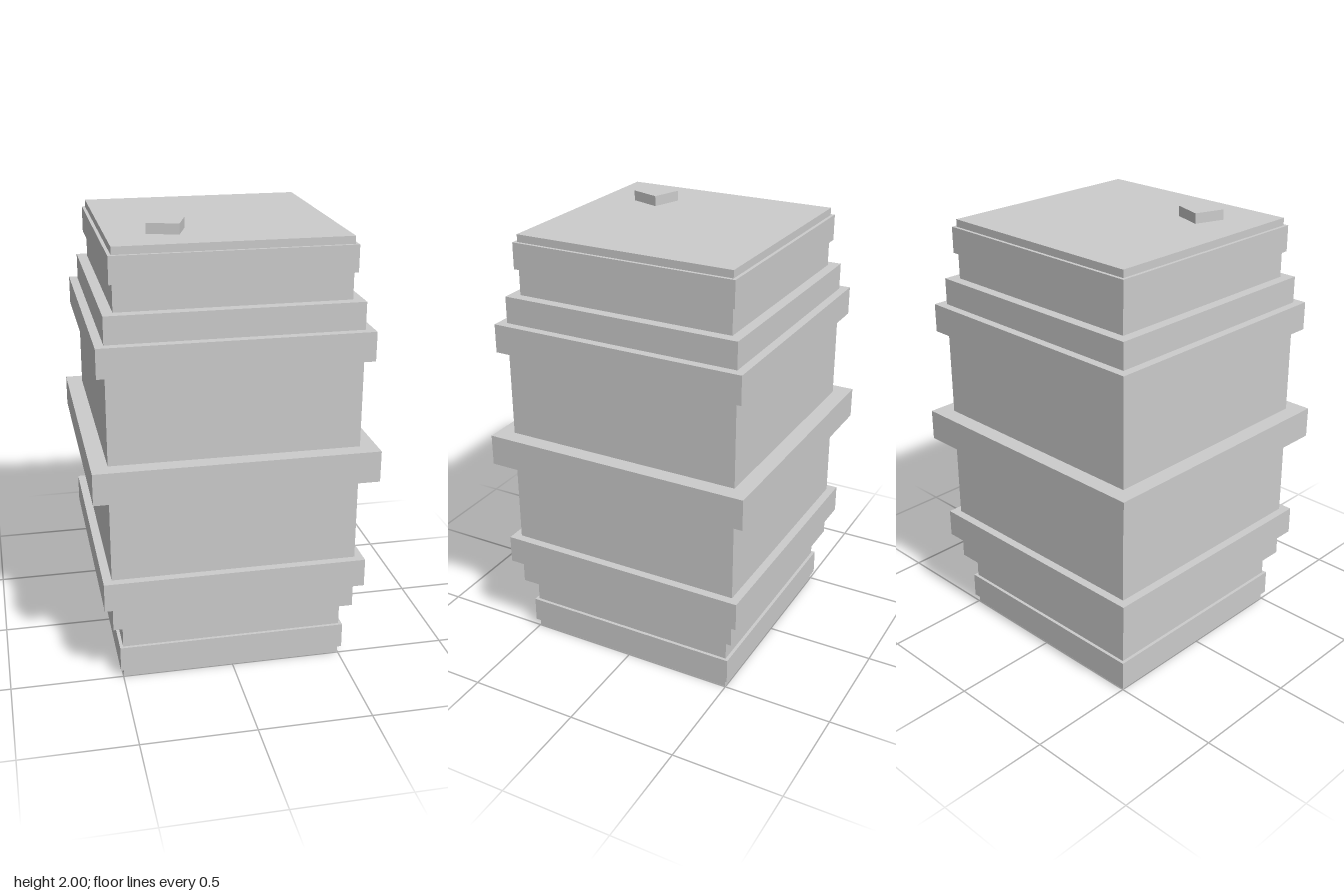
import * as THREE from 'three';

export function createModel() {
  const group = new THREE.Group();
  const material = new THREE.MeshStandardMaterial({ color: 0xcccccc, flatShading: true });

  // Square block spanning y0..y1, centred on the vertical axis
  const block = (name, width, y0, y1) => {
    const mesh = new THREE.Mesh(new THREE.BoxGeometry(width, y1 - y0, width), material);
    mesh.name = name;
    mesh.position.y = (y0 + y1) / 2;
    group.add(mesh);
    return mesh;
  };

  // Barrel body: narrow ends with a wider belly
  block('barrelCore', 0.995, 0, 1.955);
  block('barrelBelly', 1.086, 0.27, 1.69);

  // Hoops, mirrored about the middle height
  const middle = 0.98;
  block('middleHoop', 1.232, middle - 0.07, middle + 0.07);
  const hoops = [
    ['Inner', 1.162, 0.527, 0.128],
    ['Outer', 1.024, 0.884, 0.116],
  ];
  for (const [name, width, offset, height] of hoops) {
    for (const side of [-1, 1]) {
      const y = middle + side * offset;
      block((side < 0 ? 'lower' : 'upper') + name + 'Hoop', width, y - height / 2, y + height / 2);
    }
  }

  // Bung on the lid, slightly turned
  const bung = block('bung', 0.139, 1.95, 2);
  bung.position.x = -0.241;
  bung.position.z = 0.249;
  bung.rotation.y = -0.325;

  return group;
}
